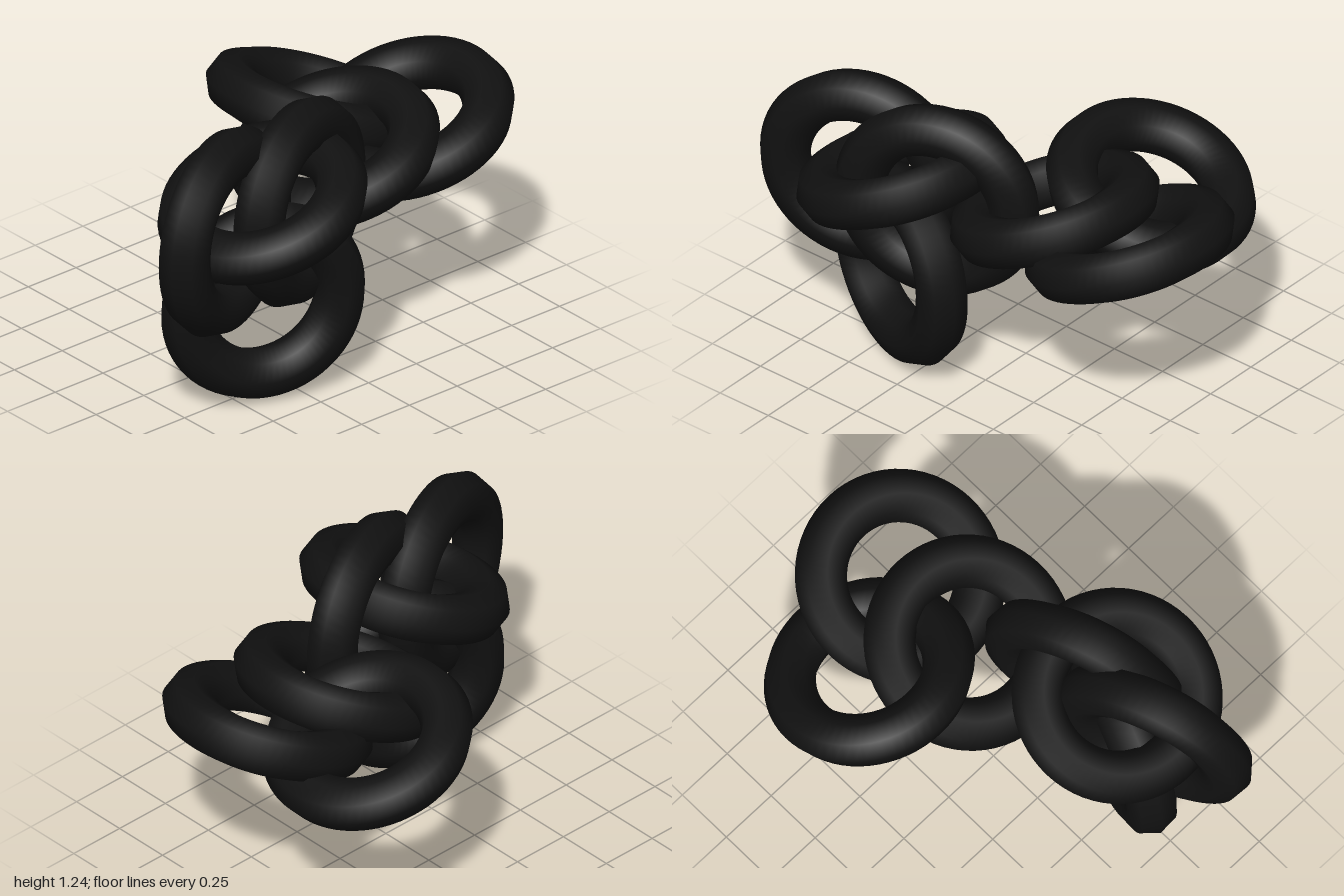
import * as THREE from 'three';

const TILT = THREE.MathUtils.degToRad(20);

export function createModel() {
  const model = new THREE.Group();
  model.name = 'linkedRings';

  // All rings share one torus with an eight-sided tube
  const ringGeometry = new THREE.TorusGeometry(0.326, 0.107, 8, 64);
  const material = new THREE.MeshStandardMaterial({ color: 0x111111 });

  function addRing(name, position, pitch, yaw, roll) {
    const ring = new THREE.Mesh(ringGeometry, material);
    ring.name = name;
    ring.position.set(...position);
    ring.rotation.set(pitch, yaw, roll, 'ZYX');
    model.add(ring);
  }
  const upright = (name, position, tilt) => addRing(name, position, 0, tilt, 0);
  const flat = (name, position, tilt) => addRing(name, position, Math.PI / 2, 0, tilt);

  // Upright trio: two side by side, one hanging below
  upright('uprightRingOuter', [-0.59, 0.81, 0.31], TILT);
  upright('uprightRingInner', [-0.2, 0.81, 0.31], TILT);
  upright('hangingRing', [-0.39, 0.433, 0.31], -TILT);

  // Flat ring threaded through the upright trio
  flat('threadedRing', [-0.39, 0.87, 0.307], TILT);

  // Flat trio: two side by side, one behind
  flat('flatRingInner', [0.2, 0.81, 0.06], TILT);
  flat('flatRingOuter', [0.59, 0.81, 0.06], TILT);
  flat('flatRingBack', [0.39, 0.81, -0.31], -TILT);

  return model;
}
